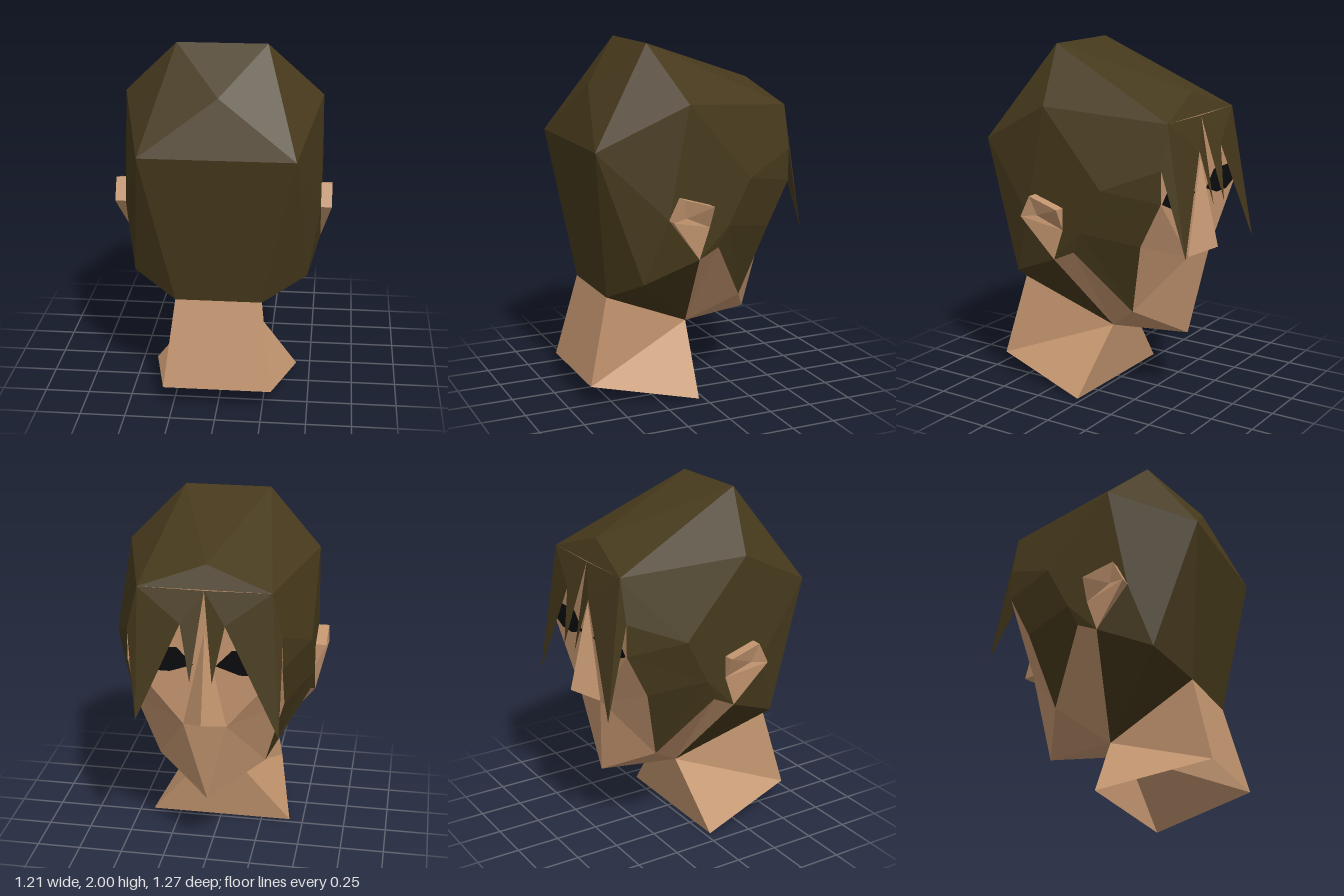
import * as THREE from 'three';

// Named corner points on the +x half; a leading "-" in a face mirrors the point in x.
const POINTS = {
  // hair shell
  crown: [0.245, 2, 0.27], temple: [0.545, 1.7, 0.15], backTop: [0, 1.76, 0.515],
  backSide: [0.42, 1.46, 0.635], low: [0.48, 0.73, 0.39], nape: [0.24, 0.61, 0.515],
  frontTop: [0, 1.76, -0.455], brow: [0.36, 1.64, -0.515], part: [0, 1.635, -0.515],
  side: [0.545, 1.28, -0.215], burn: [0.545, 1.03, -0.085], fringe: [0.12, 1.465, -0.575],
  // face outline and jaw
  upper: [0.42, 1.4, -0.515], eyeSide: [0.42, 1.22, -0.515], cheek: [0.42, 0.97, -0.39],
  jawSide: [0.305, 0.55, -0.27], jaw: [0.12, 0.37, -0.02], chin: [0, 0.37, -0.45],
  bridge: [0, 1.4, -0.515], nostril: [0.12, 0.86, -0.515], noseTip: [0, 0.91, -0.635],
  // ear
  earBack: [0.545, 1.09, 0.27], earLow: [0.545, 0.855, 0.09], lobe: [0.53, 0.91, -0.03],
  rootTop: [0.545, 1.21, 0.21], rootFront: [0.545, 1.155, 0.03], rootLow: [0.545, 1.03, 0.03],
  rimTop: [0.605, 1.21, 0.21], rimFront: [0.605, 1.155, 0.03], rimBack: [0.605, 1.09, 0.27],
  hollow: [0.575, 1.1, 0.18],
  // neck rim
  neckBack: [0.3, 0.125, 0.635], neckFront: [0.42, 0, 0.03],
  // fringe tips
  tipSmall: [0.06, 1.16, -0.635], tipA: [0.36, 0.92, -0.635], tipB: [0.42, 0.87, -0.635],
  // eye, just ahead of the face
  eye1: [0.06, 1.215, -0.519], eye2: [0.15, 1.31, -0.519], eye3: [0.33, 1.31, -0.519],
  eye4: [0.415, 1.22, -0.519], eye5: [0.3, 1.17, -0.519], eye6: [0.19, 1.17, -0.519],
};

const HAIR = 0x46391c, SKIN = 0xc3956f, EYE = 0x0a0b0e;

function point(name, flip) {
  const mirrored = name.startsWith('-');
  const v = new THREE.Vector3(...POINTS[mirrored ? name.slice(1) : name]);
  if (mirrored !== flip) v.x *= -1;
  return v;
}

// Flat-shaded patch of convex faces, each turned to face away from the given centre.
function patch(name, color, faces, centre, flip = false) {
  const mid = new THREE.Vector3(...centre);
  if (flip) mid.x *= -1;
  const out = [];
  for (const face of faces) {
    const p = face.split(' ').map((n) => point(n, flip));
    for (let i = 1; i < p.length - 1; i++) {
      const tri = [p[0], p[i], p[i + 1]];
      const normal = tri[1].clone().sub(tri[0]).cross(tri[2].clone().sub(tri[0]));
      if (normal.dot(tri[0].clone().sub(mid)) < 0) tri.reverse();
      tri.forEach((v) => out.push(v.x, v.y, v.z));
    }
  }
  const geo = new THREE.BufferGeometry();
  geo.setAttribute('position', new THREE.Float32BufferAttribute(out, 3));
  geo.computeVertexNormals();
  const mesh = new THREE.Mesh(geo, new THREE.MeshStandardMaterial({
    color, flatShading: true, side: THREE.DoubleSide, roughness: 1,
  }));
  mesh.name = name;
  return mesh;
}

export function createModel() {
  const group = new THREE.Group();
  group.name = 'head';
  const headMid = [0, 1.1, 0];
  const add = (...args) => group.add(patch(...args));
  const pair = (name, color, faces, centre) => {
    add(name + 'Left', color, faces, centre);
    add(name + 'Right', color, faces, centre, true);
  };

  // Hair: middle strip over the skull, then both sides
  add('hairMiddle', HAIR, [
    'frontTop crown -crown', 'crown -crown backTop', 'backTop backSide -backSide',
    'backSide -backSide -nape nape',
  ], headMid);
  pair('hairSide', HAIR, [
    'frontTop crown brow', 'frontTop brow part', 'crown temple brow', 'temple side brow',
    'crown backTop backSide', 'crown temple backSide',
    'temple backSide earBack', 'backSide low earBack', 'backSide low nape',
    'temple earBack side', 'side earBack burn', 'earBack earLow burn', 'burn earLow lobe',
    'earBack low earLow', 'low earLow jaw', 'low nape jaw',
    'side brow upper', 'side upper eyeSide', 'side eyeSide burn',
    'burn eyeSide cheek', 'burn cheek jawSide', 'burn jawSide lobe',
  ], headMid);

  // Fringe: pointed locks, the outer two of unequal length
  pair('fringeCentre', HAIR, ['brow part fringe', 'part fringe tipSmall'], headMid);
  add('fringeLockLeft', HAIR, ['brow upper tipA', 'brow tipA fringe'], headMid);
  add('fringeLockRight', HAIR, ['brow upper tipB', 'brow tipB fringe'], headMid, true);

  // Face, jaw and nose
  add('face', SKIN, [
    'brow upper -upper -brow', 'upper eyeSide -eyeSide -upper',
    'eyeSide nostril -nostril -eyeSide', 'nostril -nostril chin', 'jaw -jaw chin',
  ], headMid);
  pair('cheek', SKIN, [
    'eyeSide cheek nostril', 'cheek nostril jawSide', 'nostril jawSide chin',
    'jaw jawSide chin', 'lobe jaw jawSide', 'lobe earLow jaw',
  ], headMid);
  add('nose', SKIN, [
    'bridge nostril noseTip', 'bridge -nostril noseTip', 'noseTip nostril -nostril',
  ], [0, 1, -0.53]);
  pair('eye', EYE, ['eye1 eye2 eye3 eye4 eye5 eye6'], headMid);

  // Ears
  pair('ear', SKIN, [
    'rimTop rimFront rootFront rootTop', 'rimTop rimBack earBack rootTop',
    'rimTop rimFront hollow', 'rimTop hollow rimBack', 'rimFront rootFront rootLow',
    'rimFront rootLow hollow', 'hollow rootLow rimBack', 'rimBack rootLow earLow',
    'rimBack earLow earBack', 'rootLow lobe earLow',
  ], [0.5, 1.06, 0.13]);

  // Neck, open at the bottom
  add('neck', SKIN, [
    'nape -nape -neckBack neckBack', 'jaw -jaw -neckFront neckFront',
    'nape jaw neckBack', '-nape -jaw -neckBack',
    'jaw neckBack neckFront', '-jaw -neckBack -neckFront',
  ], [0, 0.3, 0.3]);

  return group;
}
